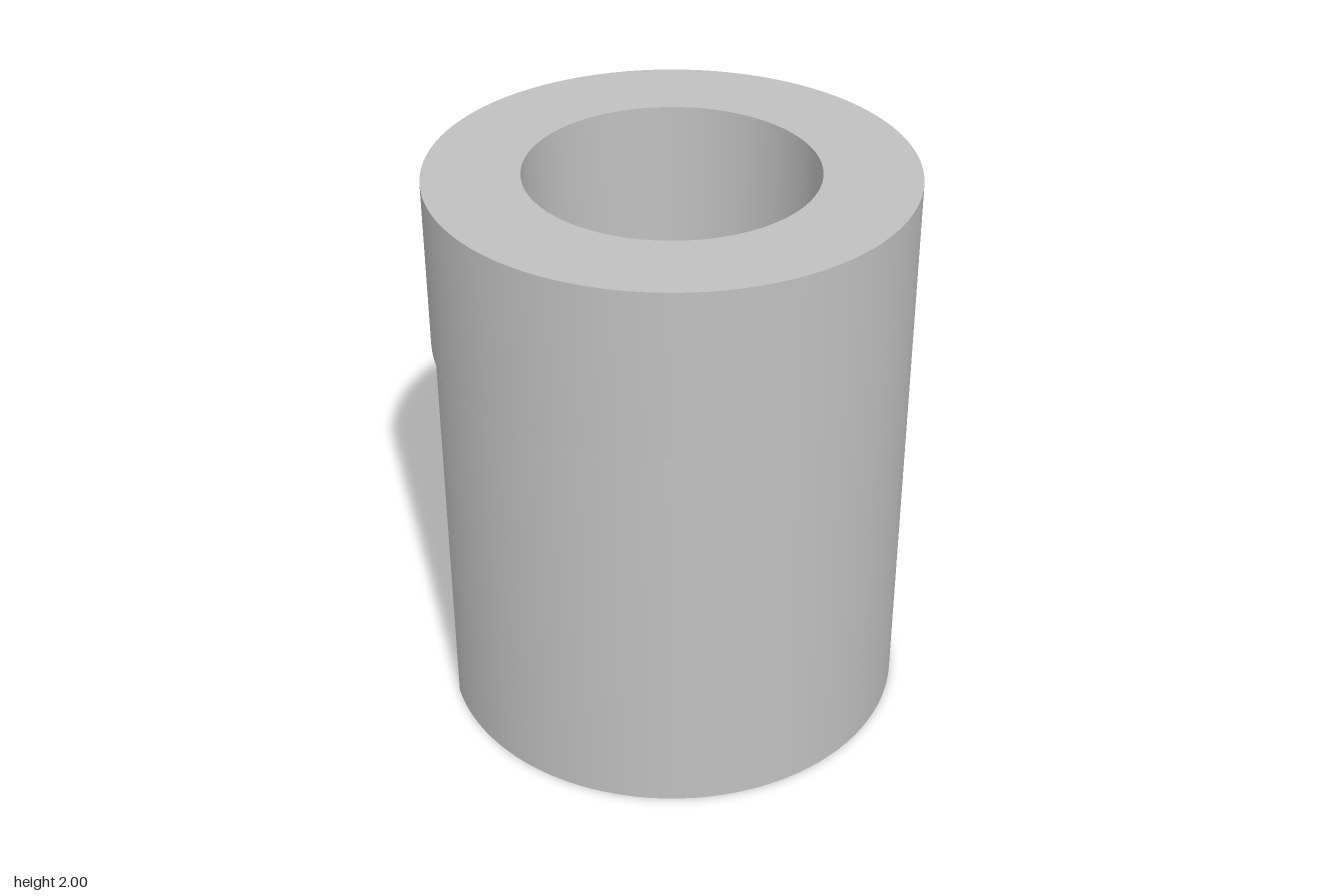
import * as THREE from 'three';
import { toCreasedNormals } from 'three/addons/utils/BufferGeometryUtils.js';

const OUTER = 0.82, BORE = 0.494; // radii
const HEIGHT = 2, COLLAR_BASE = 1.4;
const FLAT_X = 0.56, SLOT_HALF = 0.362; // side flat and slot half-width

// Extrude a plan profile upwards from y0 to y1, with smooth round walls
function extrudeUp(shape, y0, y1) {
  const geometry = new THREE.ExtrudeGeometry(shape, {
    depth: y1 - y0, bevelEnabled: false, curveSegments: 48,
  });
  geometry.rotateX(-Math.PI / 2);
  geometry.translate(0, y0, 0);
  return toCreasedNormals(geometry, Math.PI / 6);
}

export function createModel() {
  const grey = new THREE.MeshStandardMaterial({ color: 0xc0c0c0 });
  grey.name = 'light grey';
  const group = new THREE.Group();
  group.name = 'slottedBushing';

  // Collar: complete ring
  const ring = new THREE.Shape();
  ring.absarc(0, 0, OUTER, 0, Math.PI * 2, false);
  const bore = new THREE.Path();
  bore.absarc(0, 0, BORE, 0, Math.PI * 2, true);
  ring.holes.push(bore);
  const collar = new THREE.Mesh(extrudeUp(ring, COLLAR_BASE, HEIGHT), grey);
  collar.name = 'collar';

  // Sleeve: C-shaped section with flat ends and a parallel-sided slot
  const a = Math.PI - Math.acos(FLAT_X / OUTER);
  const b = Math.PI - Math.asin(SLOT_HALF / BORE);
  const section = new THREE.Shape();
  section.absarc(0, 0, OUTER, -a, a, false);
  section.lineTo(-FLAT_X, SLOT_HALF);
  section.absarc(0, 0, BORE, b, -b, true);
  section.lineTo(-FLAT_X, -SLOT_HALF);
  section.closePath();
  const sleeve = new THREE.Mesh(extrudeUp(section, 0, COLLAR_BASE), grey);
  sleeve.name = 'slottedSleeve';

  group.add(collar, sleeve);
  return group;
}
